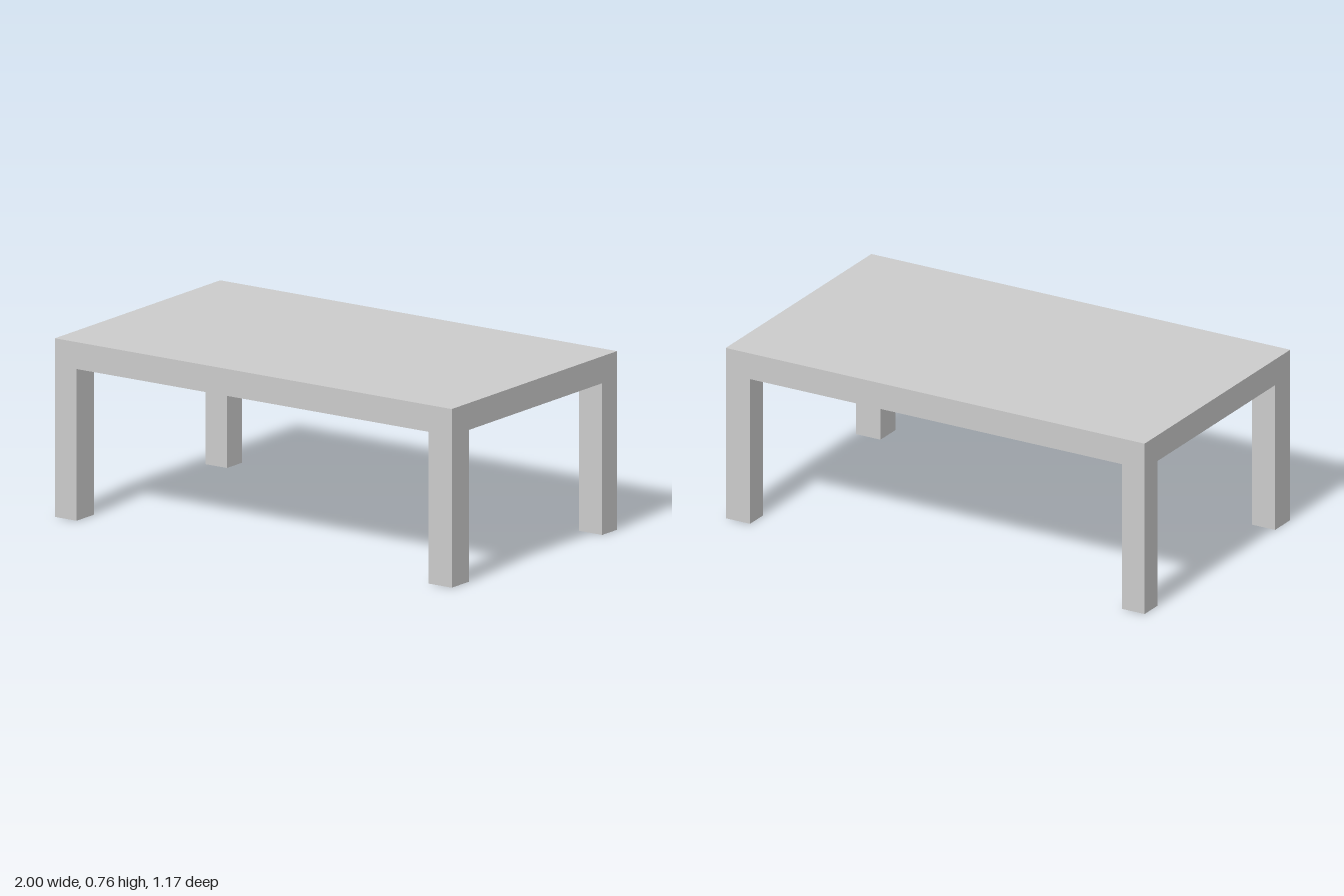
import * as THREE from 'three';

const HALF_X = 1, HALF_Z = 0.584, HEIGHT = 0.757, UNDERSIDE = 0.643;

export function createModel() {
  const group = new THREE.Group();
  const material = new THREE.MeshStandardMaterial({ color: 0xcccccc, flatShading: true });

  // Box given by its lower and upper corners
  function addBox(name, [x0, y0, z0], [x1, y1, z1]) {
    const mesh = new THREE.Mesh(new THREE.BoxGeometry(x1 - x0, y1 - y0, z1 - z0), material);
    mesh.position.set((x0 + x1) / 2, (y0 + y1) / 2, (z0 + z1) / 2);
    mesh.name = name;
    group.add(mesh);
  }

  // Solid slab top
  addBox('tableTop', [-HALF_X, UNDERSIDE, -HALF_Z], [HALF_X, HEIGHT, HALF_Z]);

  // Corner legs, flush with the slab; thickness differs slightly per side
  const xSides = [['Right', -HALF_X, -0.891], ['Left', 0.884, HALF_X]];
  const zSides = [['front', 0.462, HALF_Z], ['back', -HALF_Z, -0.479]];
  for (const [side, x0, x1] of xSides) {
    for (const [end, z0, z1] of zSides) {
      addBox(`${end}${side}Leg`, [x0, 0, z0], [x1, UNDERSIDE, z1]);
    }
  }
  return group;
}
